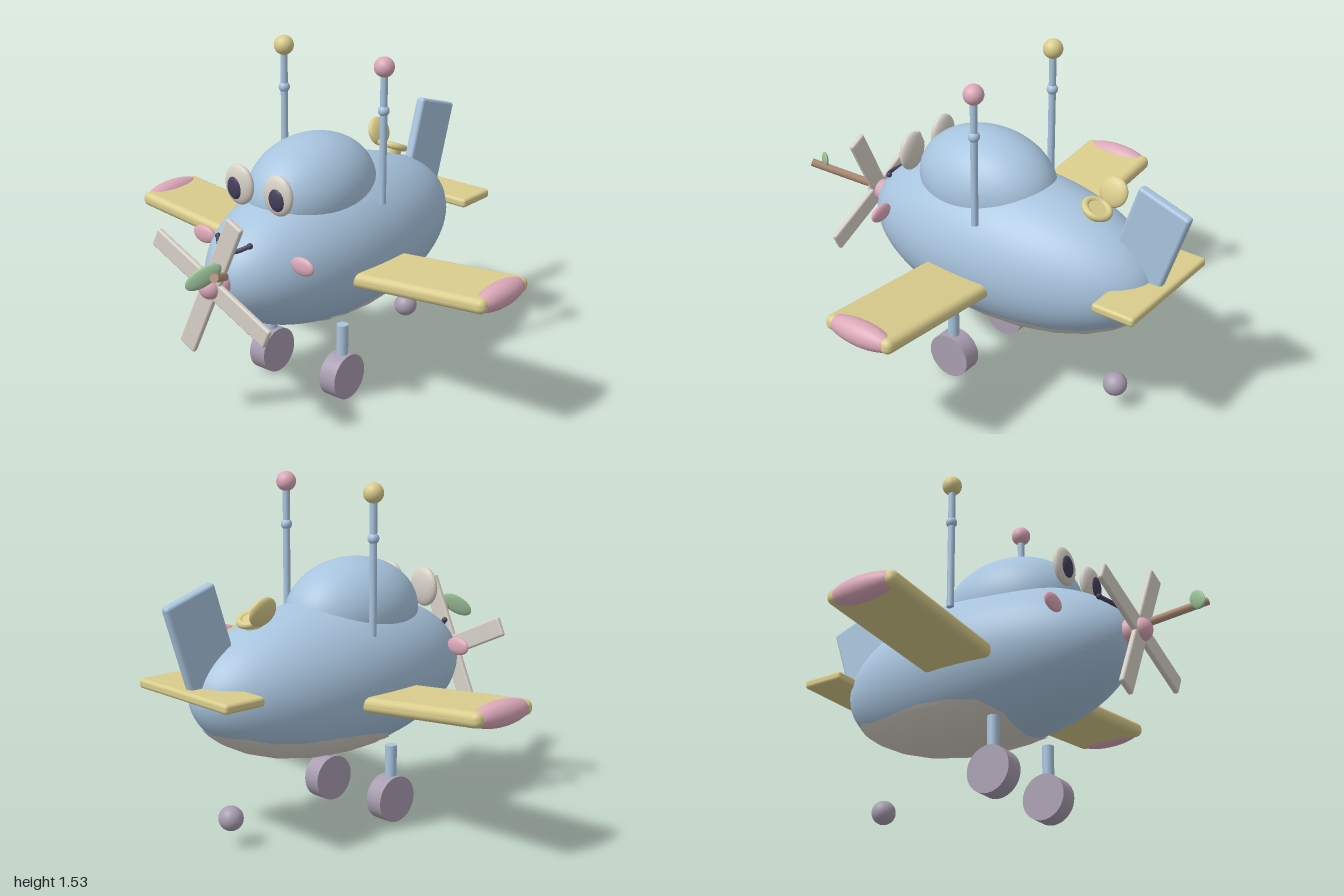
import * as THREE from 'three';
import { RoundedBoxGeometry } from 'three/addons/geometries/RoundedBoxGeometry.js';

const colours = {
  skyBlue: 0xa8c4de, butter: 0xd9cc8c, rose: 0xdba8b8, cream: 0xd6d0c6,
  mauve: 0xa89db0, ink: 0x453f5c, bark: 0xb5937a, leafGreen: 0x9cc09a,
};

export function createModel() {
  const model = new THREE.Group();
  model.name = 'toyPlane';
  const mat = {};
  for (const [name, color] of Object.entries(colours)) {
    mat[name] = new THREE.MeshStandardMaterial({ color });
    mat[name].name = name;
  }

  const add = (name, geometry, material, x, y, z) => {
    const mesh = new THREE.Mesh(geometry, mat[material]);
    mesh.name = name;
    mesh.position.set(x, y, z);
    model.add(mesh);
    return mesh;
  };
  const ball = (name, material, x, y, z, rx, ry = rx, rz = rx, seg = 32) =>
    add(name, new THREE.SphereGeometry(1, seg, seg * 0.75).scale(rx, ry, rz), material, x, y, z);
  const rod = (name, material, x, y, z, r, h, seg = 24) =>
    add(name, new THREE.CylinderGeometry(r, r, h, seg), material, x, y, z);
  const slab = (name, material, x, y, z, w, h, d, r) =>
    add(name, new RoundedBoxGeometry(w, h, d, 3, r), material, x, y, z);

  // Fuselage and canopy
  const B = { y: 0.665, z: -0.07, r: 0.345, rz: 0.728 };
  ball('body', 'skyBlue', 0, B.y, B.z, B.r, B.r, B.rz, 64);
  ball('canopy', 'skyBlue', 0, 0.93, 0.065, 0.24, 0.24, 0.335, 48);

  // Belly patch, following the fuselage just above its surface
  const span = [[0.13, 0], [0.128, 31], [0.05, 46], [-0.08, 52], [-0.25, 54], [-0.42, 50],
    [-0.55, 46], [-0.65, 44], [-0.7, 32], [-0.73, 0]];
  const pos = [], nor = [], idx = [], N = 24;
  span.forEach(([z, deg], i) => {
    const rho = B.r * Math.sqrt(1 - ((z - B.z) / B.rz) ** 2);
    for (let j = 0; j <= N; j++) {
      const a = THREE.MathUtils.degToRad(deg) * (j / N * 2 - 1);
      const p = new THREE.Vector3(rho * Math.sin(a), -rho * Math.cos(a), z - B.z);
      const n = new THREE.Vector3(p.x / B.r ** 2, p.y / B.r ** 2, p.z / B.rz ** 2).normalize();
      p.addScaledVector(n, 0.006);
      pos.push(p.x, p.y, p.z);
      nor.push(n.x, n.y, n.z);
      if (i && j) {
        const c = i * (N + 1) + j, b = c - N - 1;
        idx.push(b - 1, b, c - 1, b, c, c - 1);
      }
    }
  });
  const patch = new THREE.BufferGeometry();
  patch.setAttribute('position', new THREE.Float32BufferAttribute(pos, 3));
  patch.setAttribute('normal', new THREE.Float32BufferAttribute(nor, 3));
  // Wind the faces outward (downward)
  for (let k = 0; k < idx.length; k += 3) {
    const [a, b, c] = [0, 1, 2].map((m) => new THREE.Vector3().fromArray(pos, idx[k + m] * 3));
    if (b.sub(a).cross(c.sub(a)).y > 0) [idx[k + 1], idx[k + 2]] = [idx[k + 2], idx[k + 1]];
  }
  patch.setIndex(idx);
  add('bellyPatch', patch, 'cream', 0, B.y, B.z);

  // Mirrored parts
  for (const s of [-1, 1]) {
    const side = s > 0 ? 'left' : 'right';
    ball(side + 'Eye', 'cream', s * 0.109, 1.01, 0.405, 0.078, 0.089, 0.03);
    ball(side + 'Pupil', 'ink', s * 0.117, 1.0, 0.423, 0.043, 0.053, 0.02);
    ball(side + 'Cheek', 'rose', s * 0.28, 0.755, 0.452, 0.062, 0.04, 0.018);

    // Wing with rounded tip
    slab(side + 'Wing', 'butter', s * 0.59, 0.631, -0.005, 0.78, 0.068, 0.345, 0.03).rotation.z = s * 0.1;
    ball(side + 'WingTip', 'rose', s * 0.945, 0.667, -0.005, 0.055, 0.055, 0.17);

    // Antenna
    rod(side + 'Antenna', 'skyBlue', s * 0.28, 1.18, -0.073, 0.016, 0.6);
    ball(side + 'AntennaBead', 'skyBlue', s * 0.28, 1.298, -0.073, 0.025);
    ball(side + 'AntennaBall', s > 0 ? 'rose' : 'butter', s * 0.28, 1.488, -0.073, 0.044);

    // Landing gear
    rod(side + 'Strut', 'skyBlue', s * 0.21, 0.26, 0.107, 0.026, 0.18);
    rod(side + 'Wheel', 'mauve', s * 0.208, 0.106, 0.107, 0.104, 0.086, 40).rotation.z = Math.PI / 2;
  }
  ball('tailWheel', 'mauve', 0, 0.128, -0.63, 0.054);

  // Smile
  const smile = new THREE.CatmullRomCurve3([-2, -1, 0, 1, 2].map((t) =>
    new THREE.Vector3(t * 0.045, 0.797 + t * t * 0.008, 0.612 - t * t * 0.0125)));
  add('smile', new THREE.TubeGeometry(smile, 32, 0.01, 10), 'ink', 0, 0, 0);
  for (const s of [-1, 1]) ball('smileEnd', 'ink', s * 0.09, 0.829, 0.562, 0.013, 0.013, 0.013, 16);

  // Propeller
  ball('nose', 'rose', 0, 0.67, 0.653, 0.058);
  ball('propellerHub', 'rose', 0, 0.67, 0.703, 0.053);
  for (const turn of [0, Math.PI / 2]) {
    slab('propellerBlade', 'cream', 0, 0.67, 0.703, 0.09, 0.69, 0.025, 0.01).rotation.z = turn - 0.435;
  }

  // Twig with a leaf
  const from = new THREE.Vector3(0.075, 0.735, 0.7), to = new THREE.Vector3(0.225, 0.84, 0.91);
  const dir = to.clone().sub(from);
  const mid = from.clone().add(to).multiplyScalar(0.5);
  rod('twig', 'bark', mid.x, mid.y, mid.z, 0.018, dir.length(), 16)
    .quaternion.setFromUnitVectors(new THREE.Vector3(0, 1, 0), dir.normalize());
  const long = new THREE.Vector3(0.09, 0.09, -0.11).normalize();
  const thin = new THREE.Vector3(0.11, 0, 0.09).normalize();
  ball('leaf', 'leafGreen', 0.152, 0.82, 0.897, 0.083, 0.013, 0.04)
    .quaternion.setFromRotationMatrix(
      new THREE.Matrix4().makeBasis(long, thin, long.clone().cross(thin)));

  // Tail
  slab('tailPlane', 'butter', 0, 0.706, -0.775, 0.59, 0.042, 0.203, 0.015);
  slab('tailFin', 'skyBlue', 0, 0.927, -0.77, 0.045, 0.4, 0.255, 0.015).rotation.x = -0.31;

  // Hatch on the back with an open lid
  const tilt = -0.4;
  add('hatchRing', new THREE.TorusGeometry(0.054, 0.016, 16, 40).rotateX(Math.PI / 2),
    'butter', 0, 0.975, -0.502).rotation.x = tilt;
  rod('hatchPlug', 'butter', 0, 0.958, -0.498, 0.045, 0.05, 32).rotation.x = tilt;
  ball('hatchLid', 'butter', -0.095, 1.02, -0.522, 0.025, 0.068, 0.068).rotation.z = 0.35;

  return model;
}
